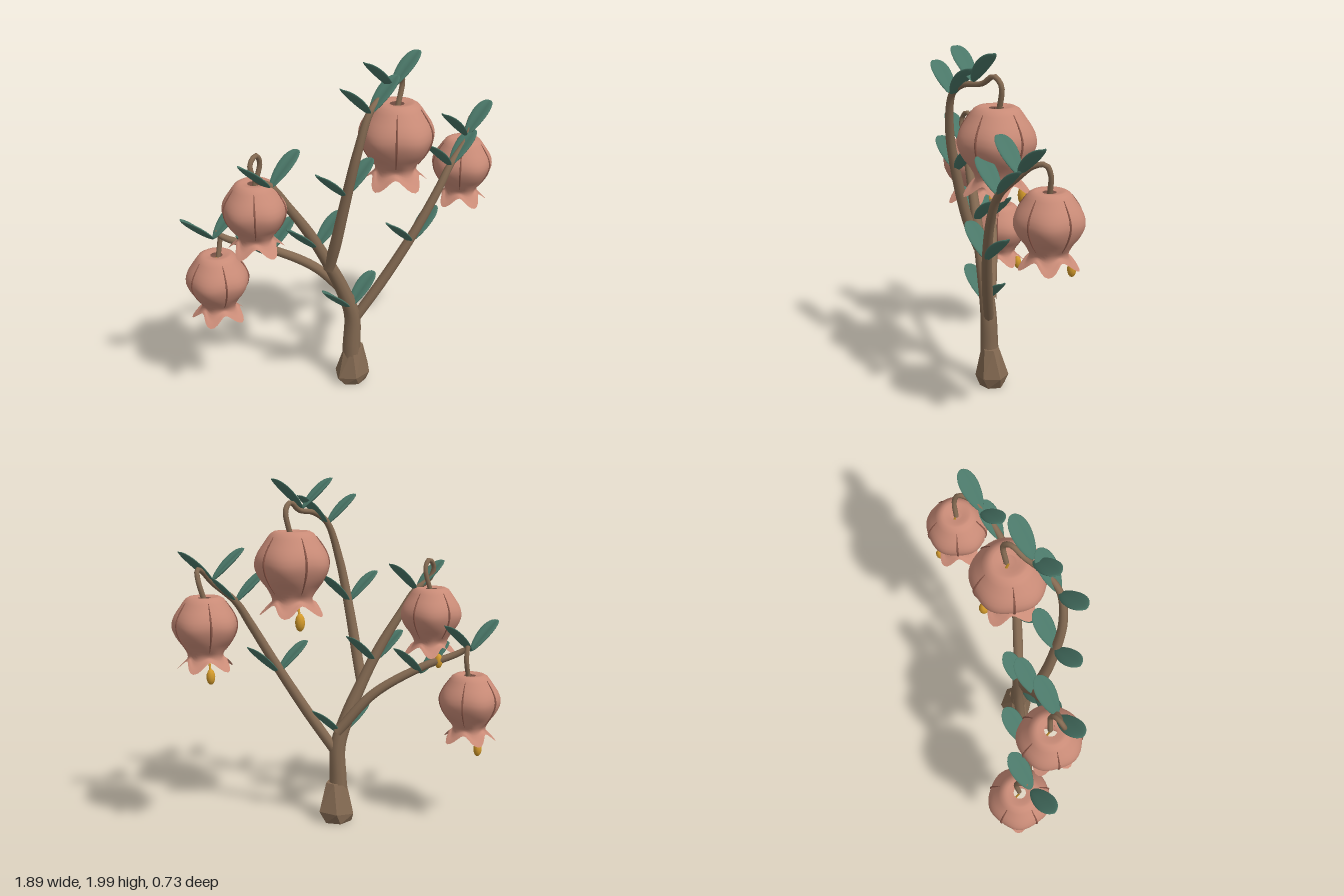
import * as THREE from 'three';

const mat = (name, color, extra = {}) => {
  const m = new THREE.MeshStandardMaterial({ color, ...extra });
  m.name = name;
  return m;
};
const BARK = mat('bark', 0x846a52);
const ROOT = mat('root bark', 0x846a52, { flatShading: true });
const LEAF = mat('leaf green', 0x4a7768);
const PETAL = mat('petal pink', 0xc98b77, { side: THREE.DoubleSide });
const SEAM = mat('seam brown', 0x8f5a4b);
const PISTIL = mat('pistil yellow', 0xd49b2c);

const V = (p) => new THREE.Vector3(...p);

function add(parent, name, geometry, material) {
  const m = new THREE.Mesh(geometry, material);
  m.name = name;
  parent.add(m);
  return m;
}

// Tube along points [x, y, z, radius], tapering between the given radii
function limb(points, sides = 10, seg = points.length * 6) {
  const curve = new THREE.CatmullRomCurve3(points.map(V0 => V(V0.slice(0, 3))));
  const geo = new THREE.TubeGeometry(curve, seg, 1, sides);
  const pos = geo.attributes.position, v = new THREE.Vector3();
  for (let i = 0; i <= seg; i++) {
    const c = curve.getPointAt(i / seg);
    const u = curve.getUtoTmapping(i / seg) * (points.length - 1);
    const k = Math.min(Math.floor(u), points.length - 2);
    const r = THREE.MathUtils.lerp(points[k][3], points[k + 1][3], u - k);
    for (let j = 0; j <= sides; j++) {
      const n = i * (sides + 1) + j;
      v.fromBufferAttribute(pos, n).sub(c).multiplyScalar(r).add(c);
      pos.setXYZ(n, v.x, v.y, v.z);
    }
  }
  geo.computeBoundingSphere();
  return geo;
}

// Blunt paddle leaf growing along +y, slightly folded about its midline
function leafGeometry() {
  const geo = new THREE.SphereGeometry(1, 20, 14);
  const pos = geo.attributes.position;
  for (let i = 0; i < pos.count; i++) {
    const y = pos.getY(i);
    const x = pos.getX(i) * 0.058 * (0.92 + 0.25 * y);
    pos.setXYZ(i, x, (y + 1) * 0.128, pos.getZ(i) * 0.013 + Math.abs(x) * 0.25 - 0.004);
  }
  geo.computeVertexNormals();
  return geo;
}

const LEAF_GEO = leafGeometry();

// Two opposite leaves rising from one node
function leafPair(node) {
  const g = new THREE.Group();
  g.name = 'leafPair';
  for (const s of [-1, 1]) {
    const dir = new THREE.Vector3(s * 0.18, 0.16, -s * 0.05).normalize();
    const across = new THREE.Vector3().crossVectors(dir, V([0, 1, 0])).normalize();
    const up = new THREE.Vector3().crossVectors(across, dir);
    const leaf = add(g, s < 0 ? 'rightLeaf' : 'leftLeaf', LEAF_GEO, LEAF);
    leaf.quaternion.setFromRotationMatrix(new THREE.Matrix4().makeBasis(across, dir, up));
  }
  g.position.set(...node);
  return g;
}

// Bell profile: radius, height below the top, strength of the five-lobed wave
const BELL = [
  [0.04, -0.008, 0], [0.1, 0, 0], [0.155, -0.06, 0.1], [0.2, -0.135, 0.15], [0.208, -0.19, 0.15],
  [0.185, -0.255, 0.1], [0.145, -0.315, 0], [0.115, -0.365, 0.15], [0.122, -0.4, 0.5],
  [0.145, -0.42, 0.85], [0.162, -0.435, 1],
].map(V);
const BELL_CURVE = new THREE.CatmullRomCurve3(BELL);

// Point on the bell at t down the profile and angle a from a seam
function bellPoint(t, a, lift = 0) {
  const p = BELL_CURVE.getPoint(t);
  const wave = -Math.cos(5 * a) * p.z;
  const r = p.x * (1 + 0.16 * wave) + lift;
  return new THREE.Vector3(r * Math.sin(a), p.y - 0.032 * wave, -r * Math.cos(a));
}

function bellGeometry() {
  const rows = 30, cols = 50, verts = [], index = [];
  for (let i = 0; i <= rows; i++)
    for (let j = 0; j < cols; j++)
      verts.push(...bellPoint(i / rows, (j / cols) * Math.PI * 2).toArray());
  for (let i = 0; i < rows; i++)
    for (let j = 0; j < cols; j++) {
      const k = (j + 1) % cols;
      const a = i * cols + j, b = i * cols + k, c = a + cols, d = b + cols;
      index.push(a, b, c, b, d, c);
    }
  const geo = new THREE.BufferGeometry();
  geo.setAttribute('position', new THREE.Float32BufferAttribute(verts, 3));
  geo.setIndex(index);
  geo.computeVertexNormals();
  // Point the outside faces outward
  if (geo.attributes.normal.getY(cols * 4) < 0) {
    geo.setIndex(index.reverse());
    geo.computeVertexNormals();
  }
  return geo;
}

const BELL_GEO = bellGeometry();

// Hanging bell flower with five seams and a pistil at the rear of its mouth
function flower([x, y, z], scale, turn) {
  const g = new THREE.Group();
  g.name = 'flower';
  const bell = new THREE.Group();
  bell.name = 'bell';
  bell.rotation.y = turn;
  add(bell, 'petals', BELL_GEO, PETAL);
  for (let k = 0; k < 5; k++) {
    const a = (k * Math.PI * 2) / 5;
    const pts = [0.16, 0.25, 0.35, 0.45, 0.55, 0.65].map((t, i) =>
      [...bellPoint(t, a, 0.001).toArray(), [0.002, 0.005, 0.007, 0.007, 0.005, 0.002][i]]);
    add(bell, 'seam', limb(pts, 6, 16), SEAM);
  }
  g.add(bell);
  add(g, 'filament', limb([[0, -0.02, 0, 0.007], [0, -0.2, -0.05, 0.007],
    [0, -0.36, -0.09, 0.007], [0, -0.46, -0.14, 0.007]], 6), PISTIL);
  const tip = add(g, 'pistil', new THREE.SphereGeometry(1, 12, 8), PISTIL);
  tip.scale.set(0.028, 0.05, 0.028);
  tip.position.set(0, -0.49, -0.145);
  g.position.set(x, y, z);
  g.scale.setScalar(scale);
  return g;
}

// Chunky faceted root flare from a few uneven six-sided rings
function rootGeometry() {
  const geo = new THREE.CylinderGeometry(1, 1, 1, 6, 2);
  const pos = geo.attributes.position;
  for (let i = 0; i < pos.count; i++) {
    const x = pos.getX(i), z = pos.getZ(i), level = Math.round((pos.getY(i) + 0.5) * 2);
    const r = [0.085, 0.105, 0.056][level];
    const a = level * 0.25;
    const bump = 1 + 0.12 * Math.sin(3 * x + 5 * z + level);
    const px = (x * Math.cos(a) - z * Math.sin(a)) * r * bump;
    const pz = (x * Math.sin(a) + z * Math.cos(a)) * r * bump * 0.9;
    pos.setXYZ(i, px + 0.005, [0, 0.06, 0.235][level] + (level === 1 ? px * 0.1 : 0), pz + 0.06);
  }
  geo.computeVertexNormals();
  return geo;
}

export function createModel() {
  const model = new THREE.Group();
  model.name = 'bellFlowerPlant';
  add(model, 'rootFlare', rootGeometry(), ROOT);

  // Trunk running into the upper right branch and its flower stalk
  add(model, 'trunk', limb([
    [-0.01, 0.05, 0.06, 0.055], [-0.01, 0.24, 0.065, 0.053], [-0.01, 0.45, 0.07, 0.047],
    [-0.07, 0.63, 0.075, 0.042], [-0.17, 0.84, 0.08, 0.034], [-0.28, 1.04, 0.08, 0.03],
    [-0.4, 1.22, 0.08, 0.025], [-0.49, 1.35, 0.08, 0.02], [-0.585, 1.42, 0.08, 0.015],
    [-0.6, 1.49, 0.07, 0.014], [-0.56, 1.528, 0.05, 0.014], [-0.53, 1.48, 0.03, 0.014],
    [-0.56, 1.35, 0.02, 0.014]]), BARK);
  // Tall middle branch
  add(model, 'middleBranch', limb([
    [-0.165, 0.8, 0.085, 0.032], [-0.155, 0.97, 0.15, 0.032], [-0.13, 1.23, 0.215, 0.029],
    [-0.085, 1.52, 0.265, 0.025], [-0.01, 1.74, 0.265, 0.019], [0.08, 1.8, 0.225, 0.016],
    [0.19, 1.82, 0.15, 0.015], [0.255, 1.865, 0.105, 0.015], [0.29, 1.82, 0.075, 0.015],
    [0.26, 1.68, 0.08, 0.015]]), BARK);
  // Left branch
  add(model, 'leftBranch', limb([
    [0.005, 0.42, 0.07, 0.03], [0.16, 0.66, 0.12, 0.031], [0.33, 0.94, 0.165, 0.028],
    [0.47, 1.18, 0.18, 0.025], [0.56, 1.32, 0.165, 0.021], [0.7, 1.44, 0.11, 0.016],
    [0.765, 1.51, 0.05, 0.014], [0.8, 1.522, 0, 0.014], [0.8, 1.47, -0.025, 0.014],
    [0.77, 1.36, -0.03, 0.014]]), BARK);
  // Low right branch
  add(model, 'lowRightBranch', limb([
    [0, 0.54, 0.055, 0.03], [-0.2, 0.77, -0.01, 0.028], [-0.47, 0.925, -0.08, 0.024],
    [-0.67, 1.0, -0.13, 0.019], [-0.72, 1.035, -0.16, 0.015], [-0.705, 1.045, -0.19, 0.014],
    [-0.69, 0.98, -0.21, 0.014], [-0.71, 0.87, -0.2, 0.014]]), BARK);

  const nodes = [
    [0.32, 0.9, 0.165], [0.56, 1.32, 0.165], [0.7, 1.455, 0.1],
    [-0.13, 1.285, 0.22], [-0.01, 1.735, 0.265], [0.16, 1.83, 0.19],
    [-0.035, 0.52, 0.085], [-0.24, 0.945, 0.08], [-0.5, 1.35, 0.085],
    [-0.47, 0.89, -0.075], [-0.75, 1.015, -0.145],
  ];
  nodes.forEach(n => model.add(leafPair(n)));

  model.add(
    flower([0.25, 1.71, 0.09], 1, 0.12),
    flower([0.77, 1.385, -0.03], 0.84, 0),
    flower([-0.565, 1.37, 0.02], 0.84, 0.25),
    flower([-0.72, 0.89, -0.2], 0.84, 0.57),
  );
  return model;
}
